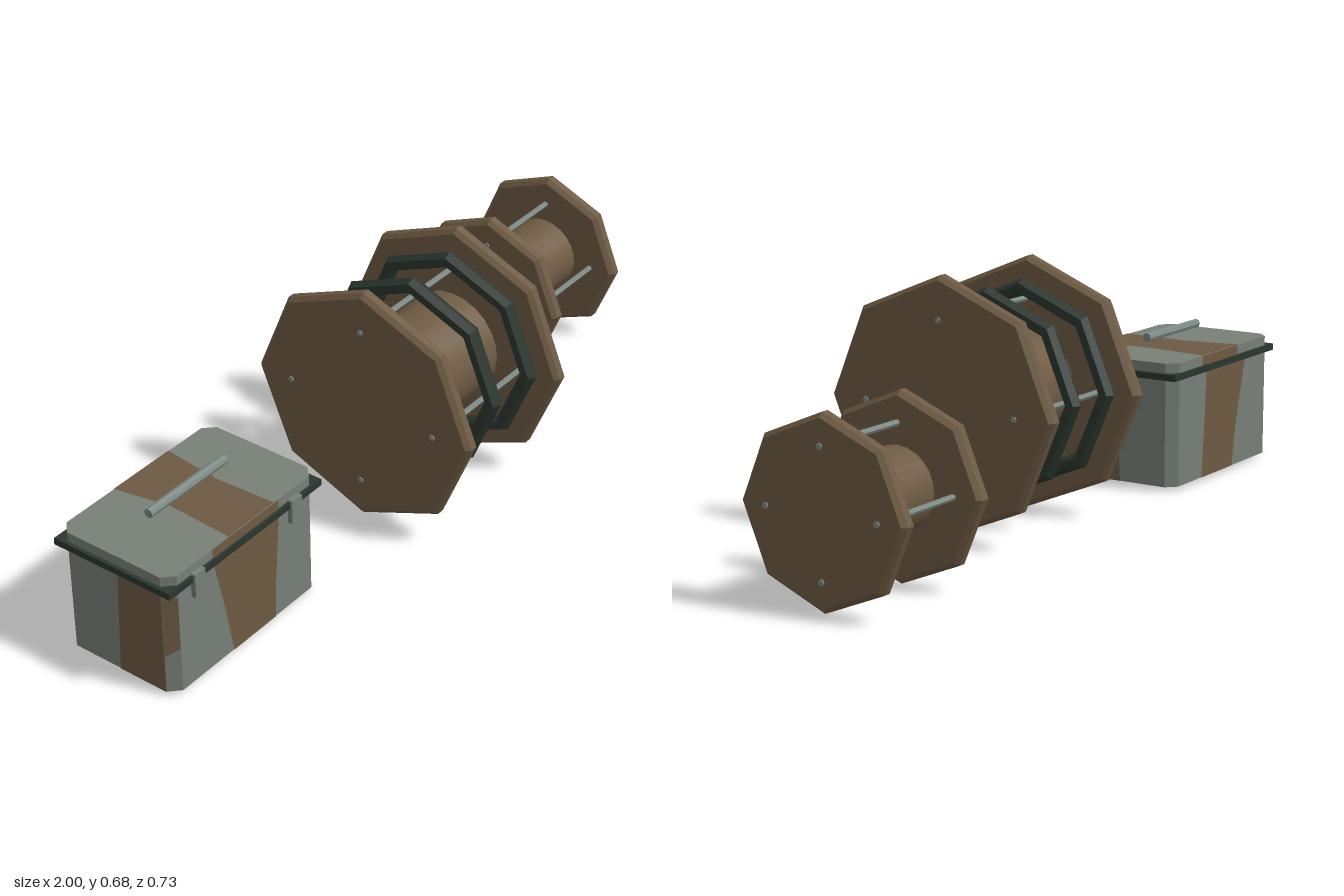
import * as THREE from 'three';

const mat = (name, color) => {
  const m = new THREE.MeshStandardMaterial({ color });
  m.name = name;
  return m;
};

const facet = (geometry) => {
  const g = geometry.index ? geometry.toNonIndexed() : geometry;
  g.computeVertexNormals();
  return g;
};

export function createModel() {
  const wood = mat('wood brown', 0x6f5b43);
  const steel = mat('steel grey', 0x7c8a86);
  const cable = mat('dark green rubber', 0x2b3730);
  const paint = mat('grey green paint', 0x788078);
  const camo = mat('camouflage brown', 0x6e5a42);

  const add = (parent, name, geometry, material, x = 0, y = 0, z = 0) => {
    const m = new THREE.Mesh(geometry, material);
    m.name = name;
    m.position.set(x, y, z);
    parent.add(m);
    return m;
  };
  const rodX = (r, length, sides) => new THREE.CylinderGeometry(r, r, length, sides).rotateZ(-Math.PI / 2);

  // Spool: two octagonal bevelled flanges, round drum, four tie rods, axis along x
  function makeSpool(name, { radius, width, drumR, rodRing }) {
    const spool = new THREE.Group();
    spool.name = name;
    const t = 0.045, b = 0.012;
    const profile = [
      [0, -t / 2], [radius - b, -t / 2], [radius, -t / 2 + b],
      [radius, t / 2 - b], [radius - b, t / 2], [0, t / 2],
    ].map(([x, y]) => new THREE.Vector2(x, y));
    const flange = facet(new THREE.LatheGeometry(profile, 8).rotateZ(-Math.PI / 2));
    for (const s of [-1, 1]) add(spool, 'flange', flange, wood, s * (width - t) / 2);
    add(spool, 'drum', rodX(drumR, width - t, 24), wood);
    const rod = facet(rodX(0.008, width + 0.008, 6));
    for (let i = 0; i < 4; i++) {
      const a = i * Math.PI / 2;
      add(spool, 'tieRod', rod, steel, 0, Math.sin(a) * rodRing, Math.cos(a) * rodRing);
    }
    return spool;
  }

  // Storage box with camouflage patches
  function makeBox() {
    const box = new THREE.Group();
    box.name = 'storageBox';
    const w = 0.275, d = 0.173, c = 0.028, e = 0.0015;
    const outline = new THREE.Shape([
      [-w + c, -d], [w - c, -d], [w, -d + c], [w, d - c],
      [w - c, d], [-w + c, d], [-w, d - c], [-w, -d + c],
    ].map(([x, y]) => new THREE.Vector2(x, y)));
    const slab = (height) =>
      new THREE.ExtrudeGeometry(outline, { depth: height, bevelEnabled: false }).rotateX(-Math.PI / 2);

    add(box, 'body', slab(0.3), paint, 0, 0.012);
    add(box, 'lid', slab(0.028), paint, 0, 0.328);
    add(box, 'seal', new THREE.BoxGeometry(0.57, 0.018, 0.362), cable, 0, 0.32, 0);
    for (const s of [-1, 1]) {
      add(box, 'latch', new THREE.BoxGeometry(0.038, 0.068, 0.016), paint, s * 0.181, 0.3, d + 0.006);
    }
    add(box, 'handle', facet(rodX(0.013, 0.28, 8)), steel, 0, 0.393, -0.006);

    // Flat painted patch drawn in its own plane, then turned onto a side
    const patch = (name, pts, x, y, z, rx, ry) => {
      const shape = new THREE.Shape(pts.map(([u, v]) => new THREE.Vector2(u, v)));
      add(box, name, new THREE.ShapeGeometry(shape), camo, x, y, z).rotation.set(rx, ry, 0);
    };
    const lo = 0.012, hi = 0.311;
    patch('frontPatch', [[-0.058, lo], [0.103, lo], [0.108, 0.12], [0.125, hi], [-0.119, hi], [-0.085, 0.16]],
      0, 0, d + e, 0, 0);
    patch('backPatch', [[-0.12, lo], [0.055, lo], [0.08, 0.15], [0.125, hi], [-0.1, hi], [-0.108, 0.15]],
      0, 0, -d - e, 0, Math.PI);
    patch('leftPatch', [[-0.145, lo], [0.005, lo], [-0.004, 0.16], [0.005, hi], [-0.145, hi]],
      w + e, 0, 0, 0, Math.PI / 2);
    patch('rightPatch', [[0, lo], [0.145, lo], [0.145, hi], [0.012, hi]],
      -w - e, 0, 0, 0, -Math.PI / 2);
    patch('cornerPatch', [[-0.0195, 0.12], [0.0195, 0.14], [0.0195, 0.29], [-0.0195, hi]],
      -w + c / 2 - e, 0, d - c / 2 + e, 0, -Math.PI / 4);
    patch('lidFrontPatch', [[-0.122, 0.329], [0.126, 0.329], [0.126, 0.356], [-0.122, 0.356]],
      0, 0, d + e, 0, 0);
    patch('lidBackPatch', [[-0.122, 0.329], [0.08, 0.329], [0.08, 0.356], [-0.122, 0.356]],
      0, 0, -d - e, 0, Math.PI);
    patch('lidTopPatch', [[-0.06, -d], [0.11, -d], [0.102, 0], [0.122, d], [-0.08, d], [-0.05, 0.02]],
      0, 0.356 + e, 0, -Math.PI / 2, 0);
    patch('bottomPatch', [[-0.055, -d], [0.12, -d], [0.103, d], [-0.058, d]],
      0, lo - e, 0, Math.PI / 2, 0);
    return box;
  }

  const model = new THREE.Group();
  model.name = 'boxAndSpools';

  const large = makeSpool('largeSpool', { radius: 0.338, width: 0.446, drumR: 0.147, rodRing: 0.226 });
  large.position.set(0.087, 0.339, 0.028);
  // Cable loops around the large spool
  const loop = facet(new THREE.TorusGeometry(0.258, 0.023, 6, 8).rotateY(Math.PI / 2));
  for (const x of [-0.162, 0, 0.162]) add(large, 'cableLoop', loop, cable, x);

  const small = makeSpool('smallSpool', { radius: 0.235, width: 0.34, drumR: 0.105, rodRing: 0.158 });
  small.position.set(0.826, 0.237, -0.129);

  const box = makeBox();
  box.position.set(-0.717, 0, -0.05);

  model.add(large, small, box);
  return model;
}
